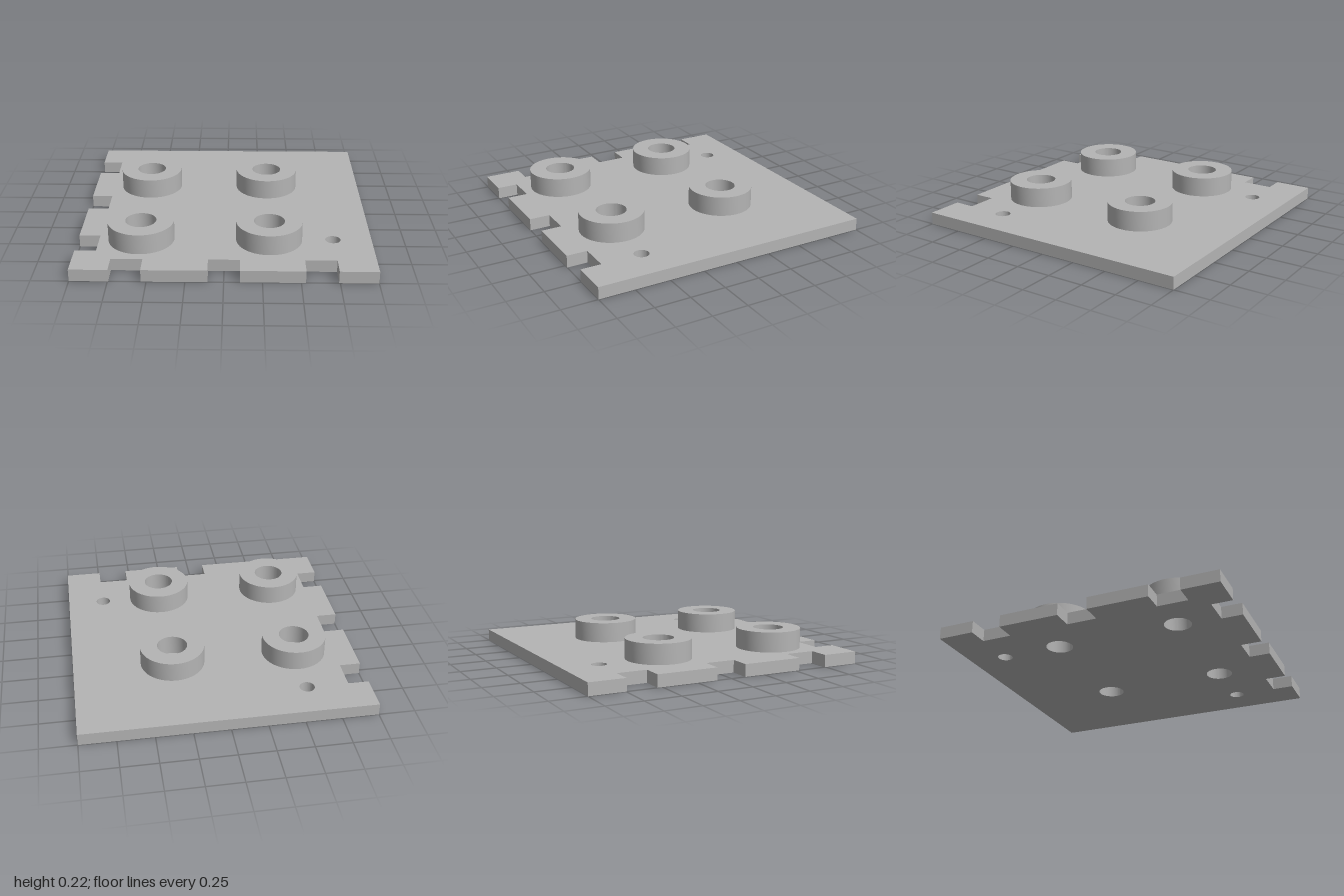
import * as THREE from 'three';
import { toCreasedNormals } from 'three/addons/utils/BufferGeometryUtils.js';

const PLATE_TOP = 0.085, BOSS_TOP = 0.225, NOTCH_DEPTH = 0.145;
const NOTCHES = [[-0.745, -0.535], [-0.105, 0.105], [0.53, 0.742]];
const BOSSES = [[-0.568, -0.308], [0.302, -0.308], [-0.568, 0.565], [0.302, 0.565]];
const PINS = [[-0.568, -0.74], [0.737, 0.565]];

function circle(Type, x, z, r) {
  const path = new Type();
  path.absarc(x, z, r, 0, Math.PI * 2, false);
  return path;
}

// Extrudes a shape drawn in x/z between two heights
function slab(shape, bottom, top) {
  const geometry = new THREE.ExtrudeGeometry(shape, { depth: top - bottom, bevelEnabled: false, curveSegments: 32 });
  geometry.rotateX(Math.PI / 2);
  geometry.translate(0, top, 0);
  return toCreasedNormals(geometry, Math.PI / 6);
}

export function createModel() {
  const group = new THREE.Group();
  const grey = new THREE.MeshStandardMaterial({ color: 0xb4b4b4 });
  grey.name = 'grey';
  const add = (name, geometry) => {
    const mesh = new THREE.Mesh(geometry, grey);
    mesh.name = name;
    group.add(mesh);
  };

  // Plate outline, notched along the front and right edges
  const outline = new THREE.Shape();
  outline.moveTo(-1, -1);
  outline.lineTo(1, -1);
  outline.lineTo(1, 1);
  const inner = 1 - NOTCH_DEPTH;
  const reversed = [...NOTCHES].reverse();
  for (const [a, b] of reversed) {
    outline.lineTo(b, 1);
    outline.lineTo(b, inner);
    outline.lineTo(a, inner);
    outline.lineTo(a, 1);
  }
  outline.lineTo(-1, 1);
  for (const [a, b] of reversed) {
    outline.lineTo(-1, b);
    outline.lineTo(-inner, b);
    outline.lineTo(-inner, a);
    outline.lineTo(-1, a);
  }
  outline.closePath();

  // Through holes under the bosses and two small pin holes
  for (const [x, z] of BOSSES) outline.holes.push(circle(THREE.Path, x, z, 0.093));
  for (const [x, z] of PINS) outline.holes.push(circle(THREE.Path, x, z, 0.052));
  add('plate', slab(outline, 0, PLATE_TOP));

  // Raised ring bosses, bored slightly wider than the plate holes
  for (const [x, z] of BOSSES) {
    const ring = circle(THREE.Shape, x, z, 0.225);
    ring.holes.push(circle(THREE.Path, x, z, 0.105));
    add('ringBoss', slab(ring, PLATE_TOP, BOSS_TOP));
  }
  return group;
}
